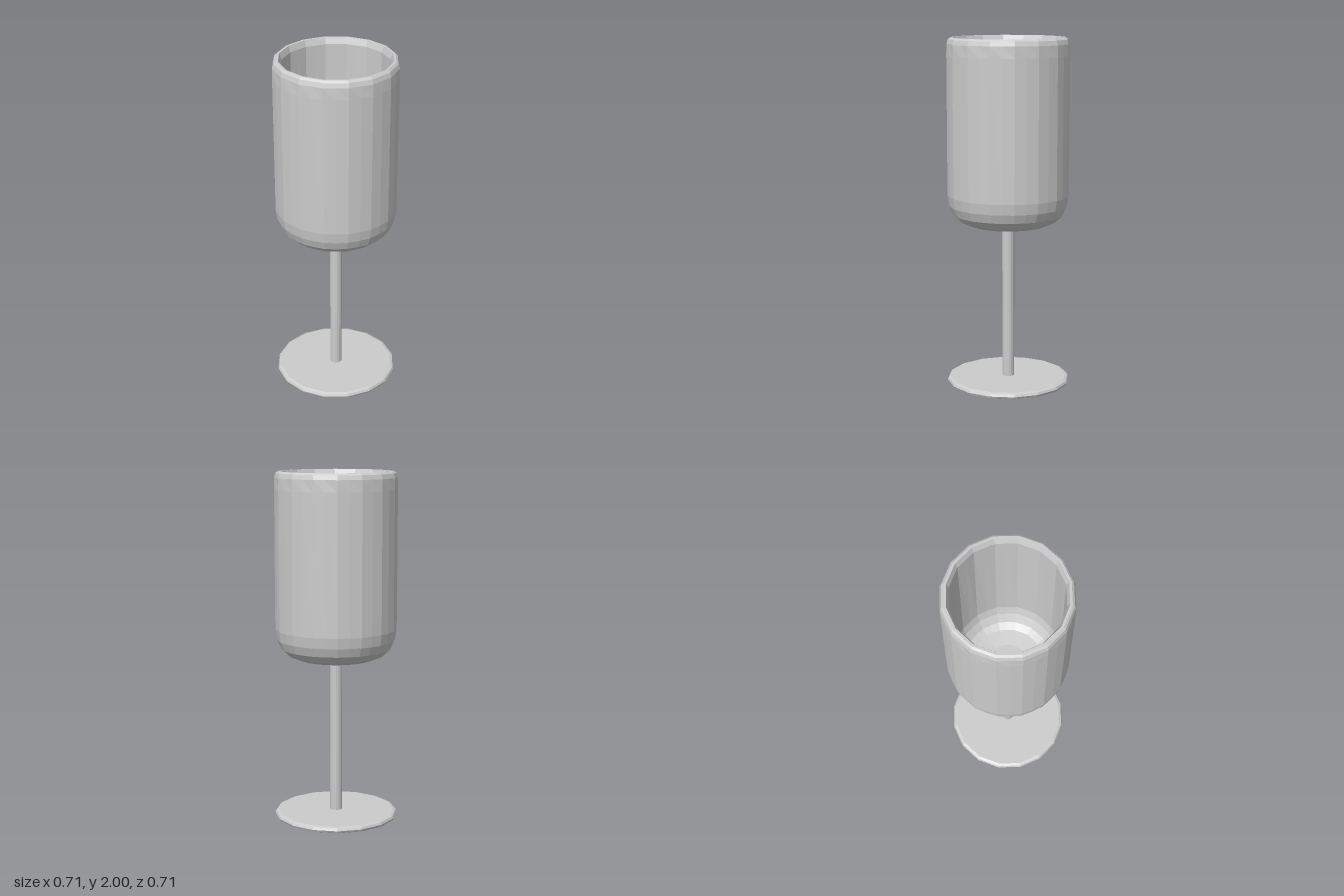
import * as THREE from 'three';

const material = new THREE.MeshStandardMaterial({ color: 0xcccccc, flatShading: true });

function lathe(name, profile, sides) {
  const points = profile.map(([r, y]) => new THREE.Vector2(r, y));
  const mesh = new THREE.Mesh(new THREE.LatheGeometry(points, sides), material);
  mesh.name = name;
  return mesh;
}

// Pull every second column inwards: a true 16-gon at the rim, softened corners below.
function softenSixteenSides(geometry) {
  const p = geometry.attributes.position;
  const step = Math.PI / 16;
  for (let i = 0; i < p.count; i++) {
    const column = Math.round(Math.atan2(p.getX(i), p.getZ(i)) / step);
    if (Math.abs(column) % 2 === 0) continue;
    const k = p.getY(i) > 1.95 ? Math.cos(step) : 0.991;
    p.setX(i, p.getX(i) * k);
    p.setZ(i, p.getZ(i) * k);
  }
  geometry.computeVertexNormals();
}

export function createModel() {
  const group = new THREE.Group();
  group.name = 'goblet';

  // Foot: thin disc with a rounded edge
  group.add(lathe('foot', [
    [0, 0], [0.335, 0], [0.35, 0.006], [0.356, 0.018], [0.35, 0.031], [0.335, 0.037], [0, 0.037],
  ], 16));

  // Stem
  group.add(lathe('stem', [[0.035, 0.03], [0.035, 0.95]], 16));

  // Bowl: outside upwards, over the bevelled rim, down the inside to the floor
  const bowl = lathe('bowl', [
    [0, 0.938], [0.22, 0.938], [0.275, 0.96], [0.318, 1.0], [0.338, 1.05], [0.347, 1.11],
    [0.347, 1.9], [0.346, 1.965], [0.338, 1.99], [0.326, 2.0],
    [0.313, 2.0], [0.3, 1.965], [0.3, 1.13], [0.283, 1.07],
    [0.25, 1.02], [0.21, 0.997], [0.12, 0.985], [0, 0.985],
  ], 32);
  softenSixteenSides(bowl.geometry);
  group.add(bowl);

  return group;
}
